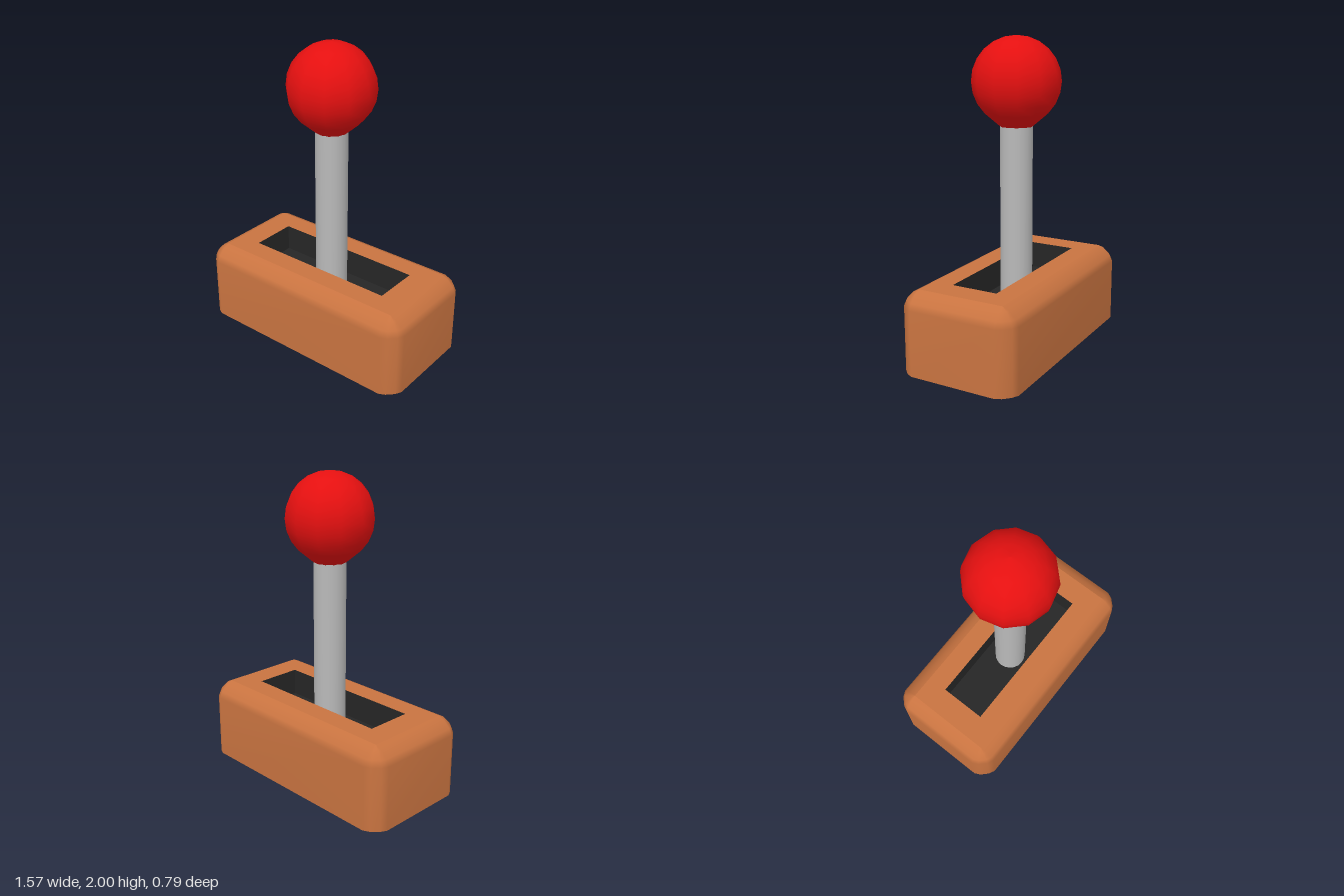
import * as THREE from 'three';

const mat = (name, color, side = THREE.FrontSide) => {
  const m = new THREE.MeshStandardMaterial({ color, side });
  m.name = name;
  return m;
};

const HX = 0.785, HZ = 0.393, TOP = 0.523, BEVEL = 0.104;
// rounded corner, as distances from the two outer faces
const ARC = [[0, 1], [0.19, 0.61], [0.61, 0.19], [1, 0]];

// rounded rectangle in plan, inset from the outer walls
function outline(inset) {
  const r = Math.max(BEVEL - inset, 0.001), hx = HX - inset, hz = HZ - inset;
  const points = [];
  [[1, 1], [-1, 1], [-1, -1], [1, -1]].forEach(([sx, sz]) => {
    const arc = sx * sz > 0 ? ARC : [...ARC].reverse();
    arc.forEach(([a, b]) => points.push([sx * (hx - a * r), sz * (hz - b * r)]));
  });
  return points;
}

// open-bottomed shell: straight walls, then the rounded upper edge
function shellGeometry() {
  const levels = [[0, 0], ...ARC.map(([a, b]) => [a * BEVEL, TOP - b * BEVEL])];
  const positions = [], index = [];
  levels.forEach(([inset, y]) => outline(inset).forEach(([x, z]) => positions.push(x, y, z)));
  const n = ARC.length * 4;
  for (let l = 0; l < levels.length - 1; l++) {
    for (let i = 0; i < n; i++) {
      const a = l * n + i, b = l * n + (i + 1) % n;
      index.push(a, a + n, b, b, a + n, b + n);
    }
  }
  const g = new THREE.BufferGeometry();
  g.setAttribute('position', new THREE.Float32BufferAttribute(positions, 3));
  g.setIndex(index);
  g.computeVertexNormals();
  return g;
}

export function createModel() {
  const group = new THREE.Group();
  const orange = mat('orangeHousing', 0xc87340, THREE.DoubleSide);
  const dark = mat('darkSlot', 0x262626, THREE.DoubleSide);
  const grey = mat('greyMetal', 0xb9b9b9);
  const red = mat('redKnob', 0xe51010, THREE.DoubleSide);
  const add = (name, geometry, material, y = 0) => {
    const mesh = new THREE.Mesh(geometry, material);
    mesh.name = name;
    mesh.position.y = y;
    group.add(mesh);
    return mesh;
  };

  // housing walls and top plate with its slot opening
  add('housing', shellGeometry(), orange);
  const slotX = 0.52, slotZ = 0.153;
  const rect = (Path, x, z) => new Path([[-x, -z], [x, -z], [x, z], [-x, z]].map(p => new THREE.Vector2(...p)));
  const plate = rect(THREE.Shape, HX - BEVEL, HZ - BEVEL);
  plate.holes.push(rect(THREE.Path, slotX, slotZ));
  add('topPlate', new THREE.ShapeGeometry(plate).rotateX(-Math.PI / 2), orange, TOP);

  // recessed slot: a box with its upper face left out
  const depth = 0.18;
  const slot = new THREE.BoxGeometry(slotX * 2, depth, slotZ * 2);
  slot.setIndex(Array.from(slot.index.array).filter((_, i) => i < 12 || i >= 18));
  slot.clearGroups();
  add('slot', slot, dark, TOP - depth / 2);

  // lever rod passing down through the slot
  const rodBottom = 0.13, rodTop = 1.45;
  add('leverRod', new THREE.CylinderGeometry(0.104, 0.104, rodTop - rodBottom, 20), grey, (rodBottom + rodTop) / 2);

  // round knob, tapering to a collar where it meets the rod
  const R = 0.282;
  const profile = [new THREE.Vector2(0.104, -0.28)];
  for (let deg = -45; deg <= 90; deg += 15) {
    const t = THREE.MathUtils.degToRad(deg);
    profile.push(new THREE.Vector2(Math.max(R * Math.cos(t), 0), R * Math.sin(t)));
  }
  add('knob', new THREE.LatheGeometry(profile, 12), red, 2 - R);

  return group;
}
